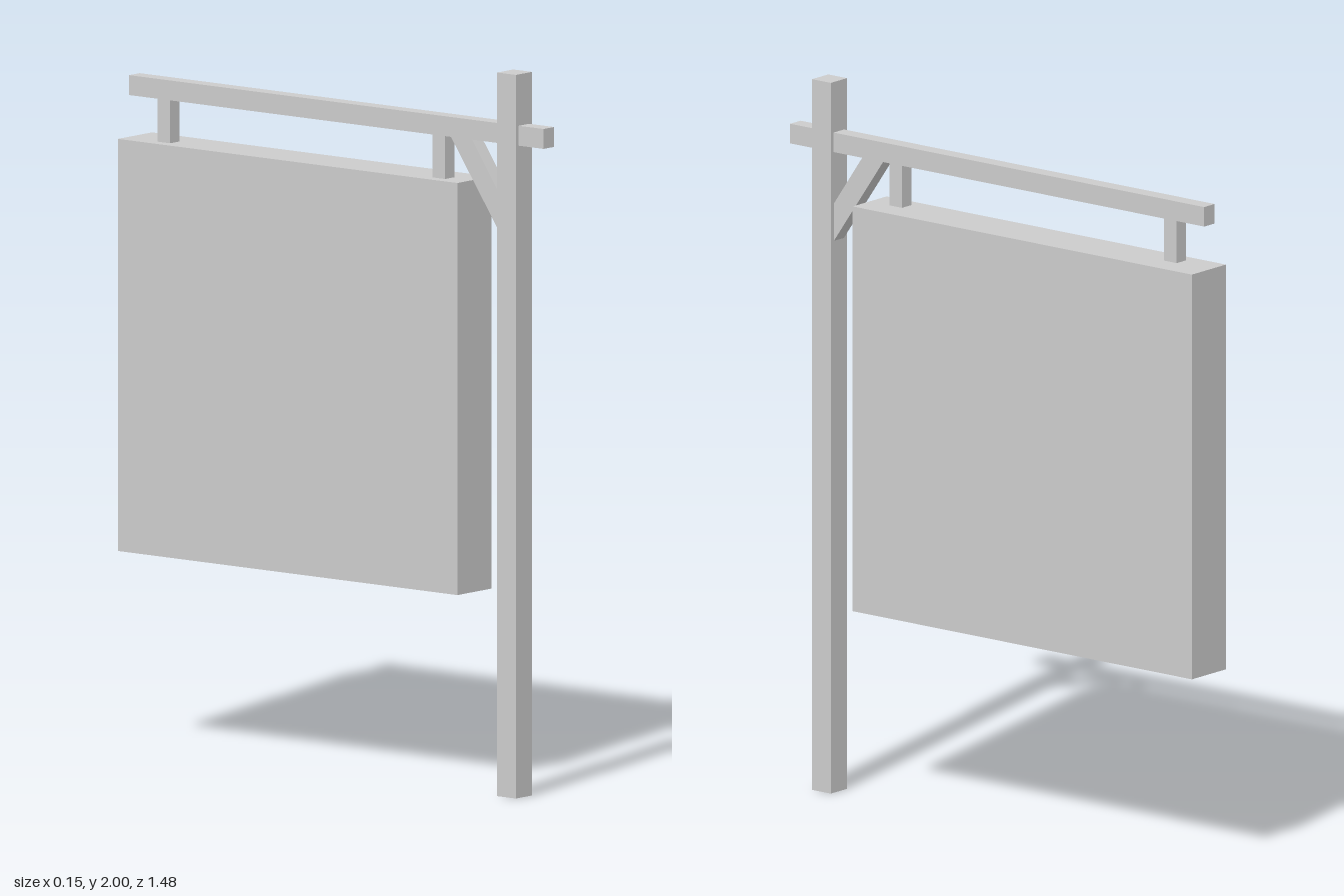
import * as THREE from 'three';

const material = new THREE.MeshStandardMaterial({ color: 0xcccccc, flatShading: true });

export function createModel() {
  const model = new THREE.Group();
  model.name = 'hangingSign';

  const add = (name, geometry) => {
    const mesh = new THREE.Mesh(geometry, material);
    mesh.name = name;
    model.add(mesh);
  };

  // Box given by its extents on each axis
  const box = (name, [x0, x1], [y0, y1], [z0, z1]) =>
    add(name, new THREE.BoxGeometry(x1 - x0, y1 - y0, z1 - z0)
      .translate((x0 + x1) / 2, (y0 + y1) / 2, (z0 + z1) / 2));

  // Side outline of [z, y] points, extruded along x from x0 to x1
  const outline = (points, Type = THREE.Shape) =>
    new Type(points.map(([z, y]) => new THREE.Vector2(-z, y)));
  const extrudeX = (name, shape, x0, x1) =>
    add(name, new THREE.ExtrudeGeometry(shape, { depth: x1 - x0, bevelEnabled: false })
      .rotateY(Math.PI / 2).translate(x0, 0, 0));
  const rect = (z0, z1, y0, y1) => [[z0, y0], [z1, y0], [z1, y1], [z0, y1]];

  // Post and the arm that passes through it
  box('post', [-0.055, 0.014], [0, 2], [0.586, 0.652]);
  box('arm', [-0.043, 0.002], [1.803, 1.858], [-0.725, 0.74]);

  // Diagonal brace between post and arm
  extrudeX('brace', outline([[0.588, 1.55], [0.588, 1.655], [0.485, 1.804], [0.411, 1.804]]),
    -0.042, 0.001);

  // Short hangers between arm and board
  for (const z of [0.368, -0.604]) box('hanger', [-0.041, 0], [1.68, 1.804], [z - 0.022, z + 0.022]);

  // Board: solid back slab with a raised rim around the recessed face
  const faceX = 0.042;
  box('boardBack', [-0.073, faceX], [0.545, 1.684], [-0.74, 0.46]);
  const rim = outline(rect(-0.74, 0.46, 0.545, 1.684));
  rim.holes.push(outline(rect(-0.698, 0.414, 0.606, 1.635), THREE.Path));
  extrudeX('boardRim', rim, faceX, 0.073);

  return model;
}
